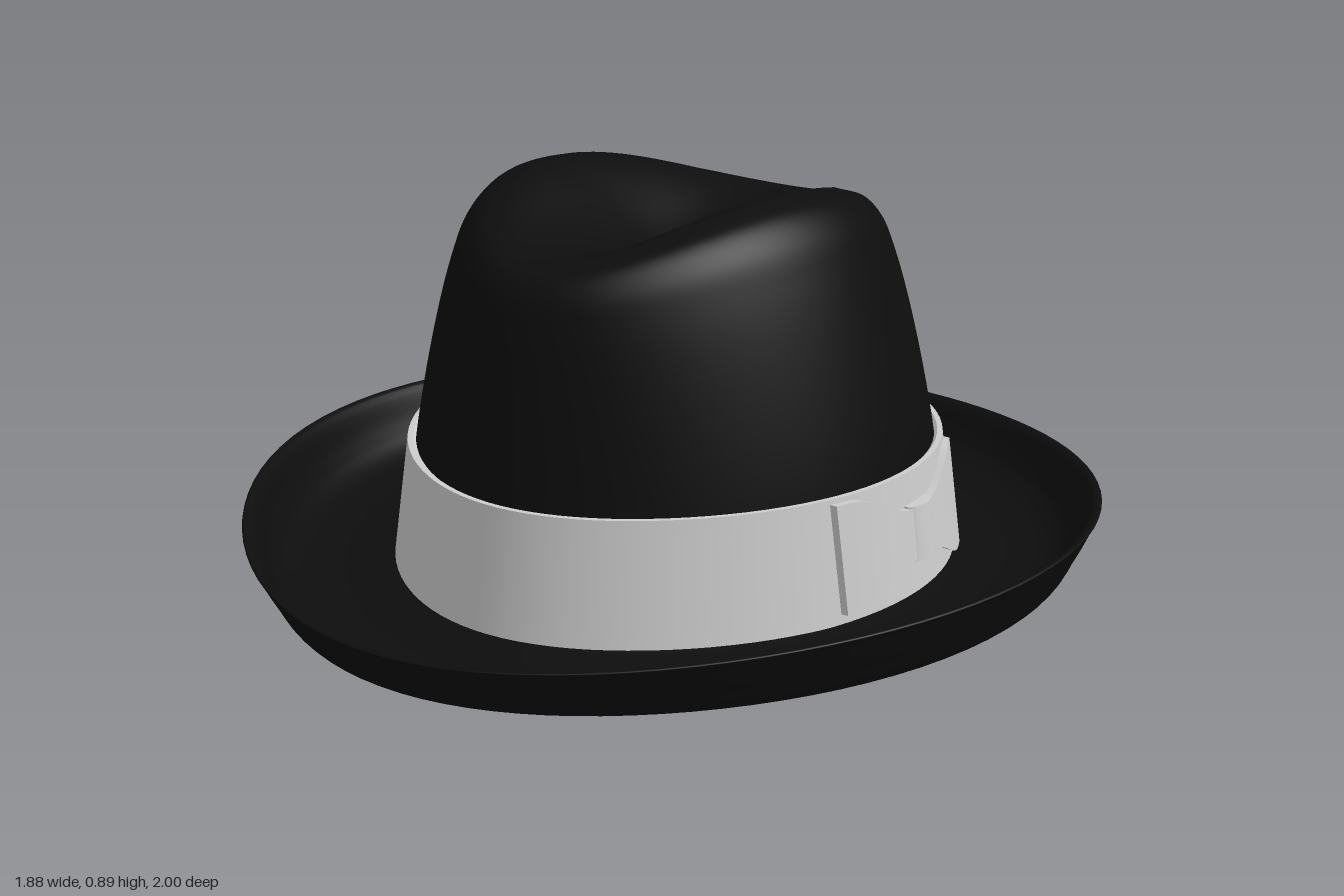
import * as THREE from 'three';

const SEG = 96;
const ZC = -0.06; // widest point of the egg-shaped plan
const felt = new THREE.MeshStandardMaterial({ color: 0x0d0d0d, side: THREE.DoubleSide });
const ribbon = new THREE.MeshStandardMaterial({ color: 0xcccccc, side: THREE.DoubleSide });

// Egg-shaped plan outline, narrower towards the front
function plan(sx, sz, a) {
  const c = Math.cos(a), f = Math.max(c, 0);
  return [sx * Math.sin(a) * (1 - 0.12 * f * f), ZC + sz * c * (c > 0 ? 1.06 : 0.94)];
}

// Skin closed rings; each row is [sx, sz, value], height(row, angle) gives y
function loft(rows, height) {
  const pos = [], idx = [];
  rows.forEach((row, i) => {
    for (let j = 0; j < SEG; j++) {
      const a = (j / SEG) * Math.PI * 2;
      const [x, z] = plan(row[0], row[1], a);
      pos.push(x, height(row, a), z);
      if (i === rows.length - 1) continue;
      const p = i * SEG + j, q = i * SEG + ((j + 1) % SEG);
      idx.push(p, q, q + SEG, p, q + SEG, p + SEG);
    }
  });
  const g = new THREE.BufferGeometry();
  g.setAttribute('position', new THREE.Float32BufferAttribute(pos, 3));
  g.setIndex(idx);
  g.computeVertexNormals();
  return g;
}

function smoothRows(rows, n) {
  const curve = new THREE.CatmullRomCurve3(rows.map(r => new THREE.Vector3(...r)), false, 'centripetal');
  return curve.getPoints(n).map(p => [p.x, p.y, p.z]);
}

function mesh(name, geometry, material) {
  const m = new THREE.Mesh(geometry, material);
  m.name = name;
  return m;
}

// Crown: tapering wall, rounded ridge, dished teardrop top
function crown() {
  const base = 0.05, floor = 0.72, rx = 0.31, rz = 0.44;
  const ridge = a => {
    const d = plan(rx, rz, a)[1] - 0.04;
    return 0.89 - (d > 0 ? 0.68 : 0.44) * d * d;
  };
  const wall = smoothRows([
    [0.6, 0.63, 0], [0.565, 0.6, 0.35], [0.505, 0.575, 0.65], [0.455, 0.555, 0.83],
    [0.42, 0.537, 0.92], [0.375, 0.505, 0.975], [rx, rz, 1],
  ], 40);
  // dish rows carry values from 1 (ridge) to 2 (centre)
  const dish = [];
  for (let i = 1; i <= 20; i++) {
    const t = 1 - i / 20;
    dish.push([rx * t, rz * t, 2 - t]);
  }
  return loft([...wall, ...dish], ([, , v], a) => {
    if (v <= 1) return base + v * (ridge(a) - base);
    const t = 2 - v;
    return floor + (ridge(a) - floor) * t * t * (3 - 2 * t);
  });
}

// Brim: thin shell with an upturned edge, higher at the sides
function brim() {
  const rows = smoothRows([
    [0.585, 0.615, 0.2], [0.62, 0.65, 0.08], [0.72, 0.76, 0.01], [0.81, 0.87, 0.05], [0.865, 0.925, 0.18],
    [0.9, 0.96, 0.5], [0.935, 0.995, 0.93], [0.94, 1, 0.985], [0.935, 0.996, 1], [0.922, 0.984, 0.97],
    [0.885, 0.945, 0.56], [0.85, 0.91, 0.31], [0.8, 0.86, 0.19], [0.72, 0.76, 0.16],
    [0.62, 0.65, 0.24], [0.585, 0.615, 0.34],
  ], 90);
  return loft(rows, ([, , v], a) => {
    const c = Math.cos(a);
    const low = 0.015 * (1 - c);
    const edge = 0.19 - (c > 0 ? 0.05 : 0.035) * c * c;
    return low + v * (edge - low);
  });
}

// Ribbon band: doubled rows keep the top edge crisp
const BAND = { y0: 0.05, y1: 0.318, x0: 0.622, x1: 0.587, z0: 0.656, z1: 0.622 };
function band() {
  const { y0, y1, x0, x1, z0, z1 } = BAND;
  const rows = [];
  for (let i = 0; i <= 6; i++) {
    const t = i / 6;
    rows.push([x0 + (x1 - x0) * t, z0 + (z1 - z0) * t, y0 + (y1 - y0) * t]);
  }
  const top = [x1, z1, y1];
  rows.push(top, [0.575, 0.61, y1], [0.575, 0.61, y1], [0.56, 0.595, y1 - 0.015]);
  return loft(rows, r => r[2]);
}

// x of the band surface on the model's left, at height y and depth z
function bandX(y, z) {
  const t = (y - BAND.y0) / (BAND.y1 - BAND.y0);
  const sx = BAND.x0 + (BAND.x1 - BAND.x0) * t, sz = BAND.z0 + (BAND.z1 - BAND.z0) * t;
  const c = (z - ZC) / (sz * (z > ZC ? 1.06 : 0.94));
  const f = Math.max(c, 0);
  return sx * Math.sqrt(1 - c * c) * (1 - 0.12 * f * f);
}

// Bow wing: a slab bent onto the band, flaring away from the knot
function wing(side) {
  const g = new THREE.BoxGeometry(1, 1, 1, 1, 6, 14);
  const p = g.attributes.position;
  for (let i = 0; i < p.count; i++) {
    const u = side > 0 ? p.getZ(i) + 0.5 : 0.5 - p.getZ(i);
    const s = THREE.MathUtils.smoothstep(u, 0.05, 0.85);
    const y = 0.19 + p.getY(i) * (0.11 + 0.125 * s);
    const z = -0.075 + side * (0.02 + 0.235 * u);
    p.setXYZ(i, bandX(y, z) + (p.getX(i) > 0 ? 0.016 : -0.01), y, z);
  }
  g.computeVertexNormals();
  return g;
}

// Knot: a rounded wrap across the middle of the bow
function knot() {
  const g = new THREE.CylinderGeometry(1, 1, 0.12, 24, 4);
  const p = g.attributes.position;
  for (let i = 0; i < p.count; i++) {
    const y = 0.19 + p.getY(i), z = -0.08 + p.getZ(i) * 0.048;
    p.setXYZ(i, bandX(y, -0.08) + 0.004 + p.getX(i) * 0.022, y, z);
  }
  g.computeVertexNormals();
  return g;
}

export function createModel() {
  const hat = new THREE.Group();
  hat.name = 'hat';
  const bow = new THREE.Group();
  bow.name = 'bow';
  bow.add(
    mesh('frontBowWing', wing(1), ribbon),
    mesh('backBowWing', wing(-1), ribbon),
    mesh('bowKnot', knot(), ribbon),
  );
  hat.add(mesh('crown', crown(), felt), mesh('brim', brim(), felt), mesh('band', band(), ribbon), bow);
  return hat;
}
